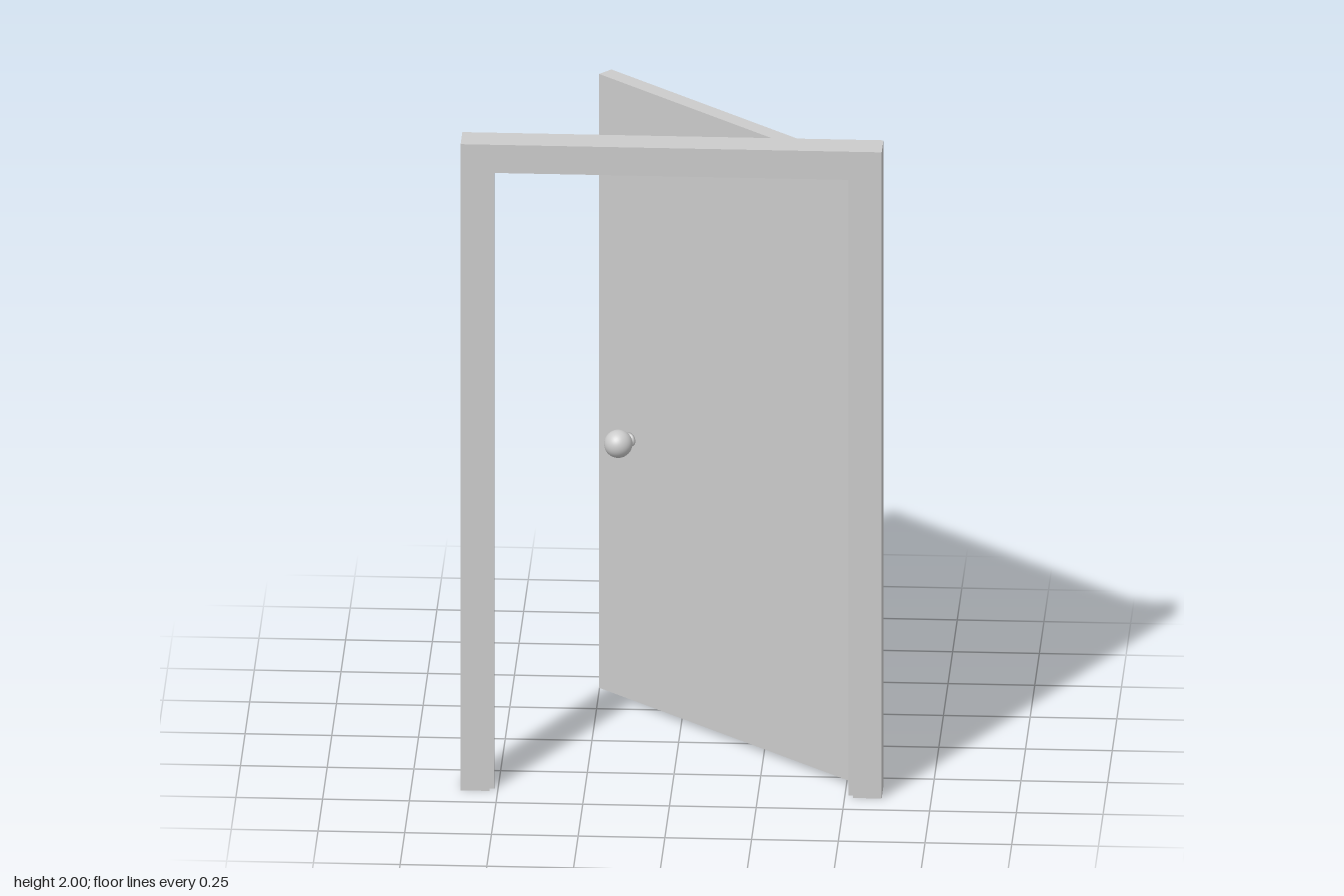
import * as THREE from 'three';

const material = new THREE.MeshStandardMaterial({ color: 0xcccccc });

function addMesh(parent, name, geometry, x = 0, y = 0, z = 0) {
  const mesh = new THREE.Mesh(geometry, material);
  mesh.name = name;
  mesh.position.set(x, y, z);
  parent.add(mesh);
  return mesh;
}

// Upside-down U outline, extruded from zBack to zFront
function archGeometry(outerX, outerY, innerX, innerY, zBack, zFront) {
  const shape = new THREE.Shape([
    [-outerX, 0], [-innerX, 0], [-innerX, innerY], [innerX, innerY],
    [innerX, 0], [outerX, 0], [outerX, outerY], [-outerX, outerY],
  ].map(([x, y]) => new THREE.Vector2(x, y)));
  return new THREE.ExtrudeGeometry(shape, { depth: zFront - zBack, bevelEnabled: false })
    .translate(0, 0, zBack);
}

export function createModel() {
  const model = new THREE.Group();
  model.name = 'openDoor';

  // Frame and the thin stop strip the door closes against
  addMesh(model, 'doorFrame', archGeometry(0.607, 2, 0.524, 1.918, 0.315, 0.41));
  addMesh(model, 'doorStop', archGeometry(0.526, 1.92, 0.511, 1.905, 0.365, 0.39));

  // Hinge barrels, half sunk in the back of the jamb
  for (const y of [0.193, 1.0, 1.756]) {
    addMesh(model, 'hinge', new THREE.CylinderGeometry(0.023, 0.023, 0.132, 24), 0.556, y, 0.311);
  }

  // Door leaf, swung open; its local +z is the front face
  const width = 1.035, thickness = 0.05;
  const door = new THREE.Group();
  door.name = 'door';
  door.position.set(0.15, 0, -0.046);
  door.rotation.y = -0.739;
  model.add(door);
  addMesh(door, 'doorPanel', new THREE.BoxGeometry(width, 1.9, thickness), 0, 0.965, 0);

  // A knob with a flared neck on each face
  const neckProfile = [[0, 0], [0.021, 0], [0.019, 0.006], [0.013, 0.012], [0.012, 0.03]]
    .map(([r, y]) => new THREE.Vector2(r, y));
  for (const side of [1, -1]) {
    const knob = new THREE.Group();
    knob.name = side > 0 ? 'frontKnob' : 'backKnob';
    knob.position.set(-width / 2 + 0.128, 0.82, side * thickness / 2);
    knob.rotation.x = side * Math.PI / 2;
    door.add(knob);
    addMesh(knob, 'knobNeck', new THREE.LatheGeometry(neckProfile, 24));
    addMesh(knob, 'knobBall', new THREE.SphereGeometry(0.041, 32, 20), 0, 0.049, 0);
  }

  return model;
}
